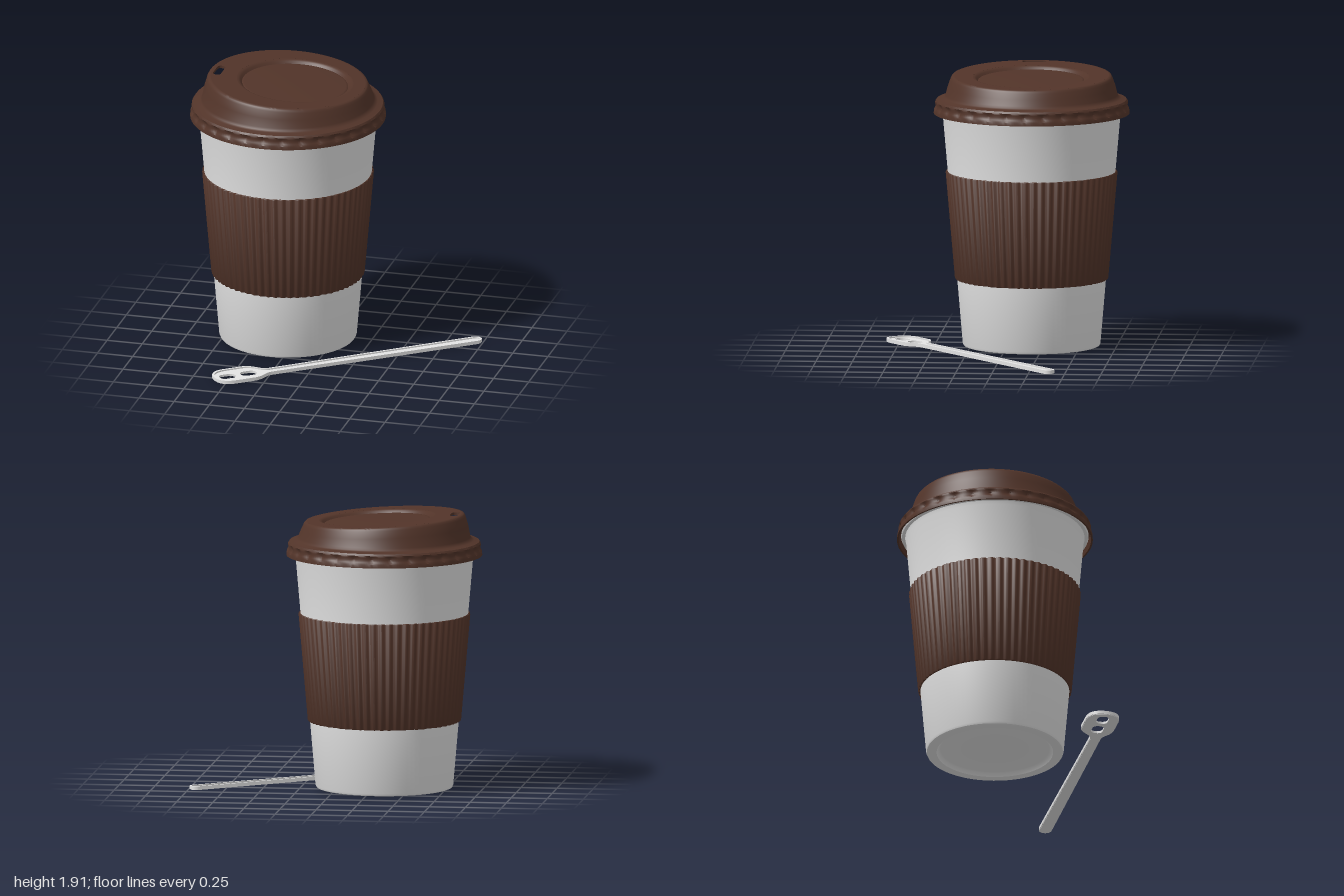
import * as THREE from 'three';
import { toCreasedNormals } from 'three/addons/utils/BufferGeometryUtils.js';

const brown = new THREE.MeshStandardMaterial({ color: 0x523429 });
brown.name = 'darkBrown';
const white = new THREE.MeshStandardMaterial({ color: 0xe4e4e4 });
white.name = 'offWhite';

function addMesh(parent, name, geometry, material, crease = 0.7) {
  const mesh = new THREE.Mesh(toCreasedNormals(geometry, crease), material);
  mesh.name = name;
  parent.add(mesh);
  return mesh;
}

const lathe = (points, segments) =>
  new THREE.LatheGeometry(points.map(([r, y]) => new THREE.Vector2(r, y)), segments);

// Moves every vertex by a rule
function reshape(geometry, rule) {
  const p = geometry.attributes.position;
  const v = new THREE.Vector3();
  for (let i = 0; i < p.count; i++) {
    v.fromBufferAttribute(p, i);
    rule(v);
    p.setXYZ(i, v.x, v.y, v.z);
  }
  return geometry;
}

// Slopes the crown of the lid down towards +x
function tilt(v) {
  v.y -= 0.055 * v.x * THREE.MathUtils.smoothstep(v.y, 1.745, 1.86);
}

// Scales a vertex outwards from the cup axis
function pushOut(v, amount) {
  const r = Math.hypot(v.x, v.z);
  v.x *= 1 + amount / r;
  v.z *= 1 + amount / r;
}

// Closed shape with rounded ends, long along y or x
function slot(cx, cy, w, h, r) {
  const path = new THREE.Path();
  const x = w / 2 - r, y = h / 2 - r;
  path.absarc(cx + x, cy + y, r, 0, Math.PI / 2);
  path.absarc(cx - x, cy + y, r, Math.PI / 2, Math.PI);
  path.absarc(cx - x, cy - y, r, Math.PI, Math.PI * 1.5);
  path.absarc(cx + x, cy - y, r, Math.PI * 1.5, Math.PI * 2);
  path.closePath();
  return path;
}

// Extrudes a plan shape (shape y becomes z) downwards from a given top
function plate(shape, depth, top, curveSegments) {
  const g = new THREE.ExtrudeGeometry(shape, { depth, bevelEnabled: false, curveSegments });
  return g.rotateX(Math.PI / 2).translate(0, top, 0);
}

function createCup() {
  const cup = new THREE.Group();
  cup.name = 'cup';

  // Hollow body with recessed base and rolled rim
  addMesh(cup, 'cupBody', lathe([
    [0, 0.04], [0.372, 0.04], [0.385, 0.034], [0.4, 0.013], [0.455, 0.011], [0.467, 0.016], [0.473, 0.03],
    [0.511, 0.475], [0.576, 1.22], [0.61, 1.61], [0.616, 1.635], [0.638, 1.637], [0.644, 1.65],
    [0.638, 1.664], [0.615, 1.668], [0.598, 1.655], [0.56, 1.22], [0.46, 0.08], [0.44, 0.06], [0, 0.06],
  ], 96), white);

  // Ribbed sleeve
  const ribs = 64;
  const sleeve = lathe([
    [0.505, 0.475], [0.517, 0.475], [0.521, 0.481], [0.584, 1.214], [0.58, 1.22], [0.57, 1.22],
  ], ribs * 8);
  reshape(sleeve, (v) => {
    const r = Math.hypot(v.x, v.z);
    if (r > 0.515 && (v.y < 0.5 || r > 0.575)) pushOut(v, 0.006 * Math.cos(ribs * Math.atan2(v.x, v.z)));
  });
  addMesh(cup, 'sleeve', sleeve, brown, 0.9);

  // Lid skirt with scalloped groove, shoulder and sloping wall
  const scallops = 32;
  const wall = lathe([
    [0.612, 1.69], [0.652, 1.68], [0.66, 1.622], [0.672, 1.622], [0.671, 1.645], [0.664, 1.66],
    [0.656, 1.677], [0.66, 1.693], [0.661, 1.705], [0.652, 1.718], [0.615, 1.727], [0.599, 1.735],
    [0.591, 1.75], [0.575, 1.81], [0.557, 1.86], [0.55, 1.874], [0.543, 1.881], [0.53, 1.883],
  ], scallops * 8);
  reshape(wall, (v) => {
    if (v.y > 1.655 && v.y < 1.7 && Math.hypot(v.x, v.z) > 0.6545) {
      const wave = Math.abs(Math.sin((scallops / 2) * Math.atan2(v.x, v.z)));
      pushOut(v, 0.012 * wave - 0.009);
    }
    tilt(v);
  });
  addMesh(cup, 'lidWall', wall, brown);

  // Lid top with an off-centre recess and a sip opening
  const top = new THREE.Shape().absarc(0, 0, 0.531, 0, Math.PI * 2);
  const dish = new THREE.Path();
  dish.absarc(0.05, 0, 0.4, 0, Math.PI * 2);
  top.holes.push(dish, slot(-0.485, 0.02, 0.056, 0.17, 0.027));
  addMesh(cup, 'lidTop', reshape(plate(top, 0.018, 1.883, 64), tilt), brown);

  const recess = lathe([
    [0.402, 1.883], [0.388, 1.881], [0.376, 1.873], [0.368, 1.862], [0.364, 1.858],
    [0.36, 1.861], [0.35, 1.862], [0, 1.862],
  ], 96).translate(0.05, 0, 0);
  addMesh(cup, 'lidRecess', reshape(recess, tilt), brown);

  cup.position.set(-0.327, 0, -0.17);
  return cup;
}

// Stirrer outline: wide head at -x, slim shaft to +x, shrunk by an inset
function stirrerOutline(Type, inset) {
  const h = 0.115 - inset, s = 0.037 - inset, e = 0.044 - inset;
  const left = -0.955 + inset, right = 1.027 - inset, c = -0.02;
  const path = new Type();
  path.moveTo(left, c);
  path.bezierCurveTo(left, c - h * 0.7, left + 0.05, c - h, left + 0.12, c - h);
  path.lineTo(-0.7, c - h);
  path.bezierCurveTo(-0.62, c - h, -0.61, -s, -0.54, -s);
  path.lineTo(right - e, -e);
  path.absarc(right - e, 0, e, -Math.PI / 2, Math.PI / 2);
  path.lineTo(-0.54, s);
  path.bezierCurveTo(-0.61, s, -0.62, c + h, -0.7, c + h);
  path.lineTo(left + 0.12, c + h);
  path.bezierCurveTo(left + 0.05, c + h, left, c + h * 0.7, left, c);
  return path;
}

function createStirrer() {
  const stirrer = new THREE.Group();
  stirrer.name = 'stirrer';

  // Flat blade with two openings in the head
  const blade = stirrerOutline(THREE.Shape, 0.004);
  for (const x of [-0.854, -0.698]) blade.holes.push(slot(x, -0.02, 0.115, 0.08, 0.035));
  addMesh(stirrer, 'stirrerBlade', plate(blade, 0.016, 0.016, 12), white);

  // Raised border
  const border = stirrerOutline(THREE.Shape, 0);
  border.holes.push(stirrerOutline(THREE.Path, 0.014));
  addMesh(stirrer, 'stirrerBorder', plate(border, 0.023, 0.026, 12), white);

  const angle = THREE.MathUtils.degToRad(38);
  stirrer.rotation.y = angle;
  stirrer.position.set(0.282 * Math.sin(angle), 0, 0.282 * Math.cos(angle));
  return stirrer;
}

export function createModel() {
  const model = new THREE.Group();
  model.name = 'travelCupWithStirrer';
  model.add(createCup(), createStirrer());
  return model;
}
